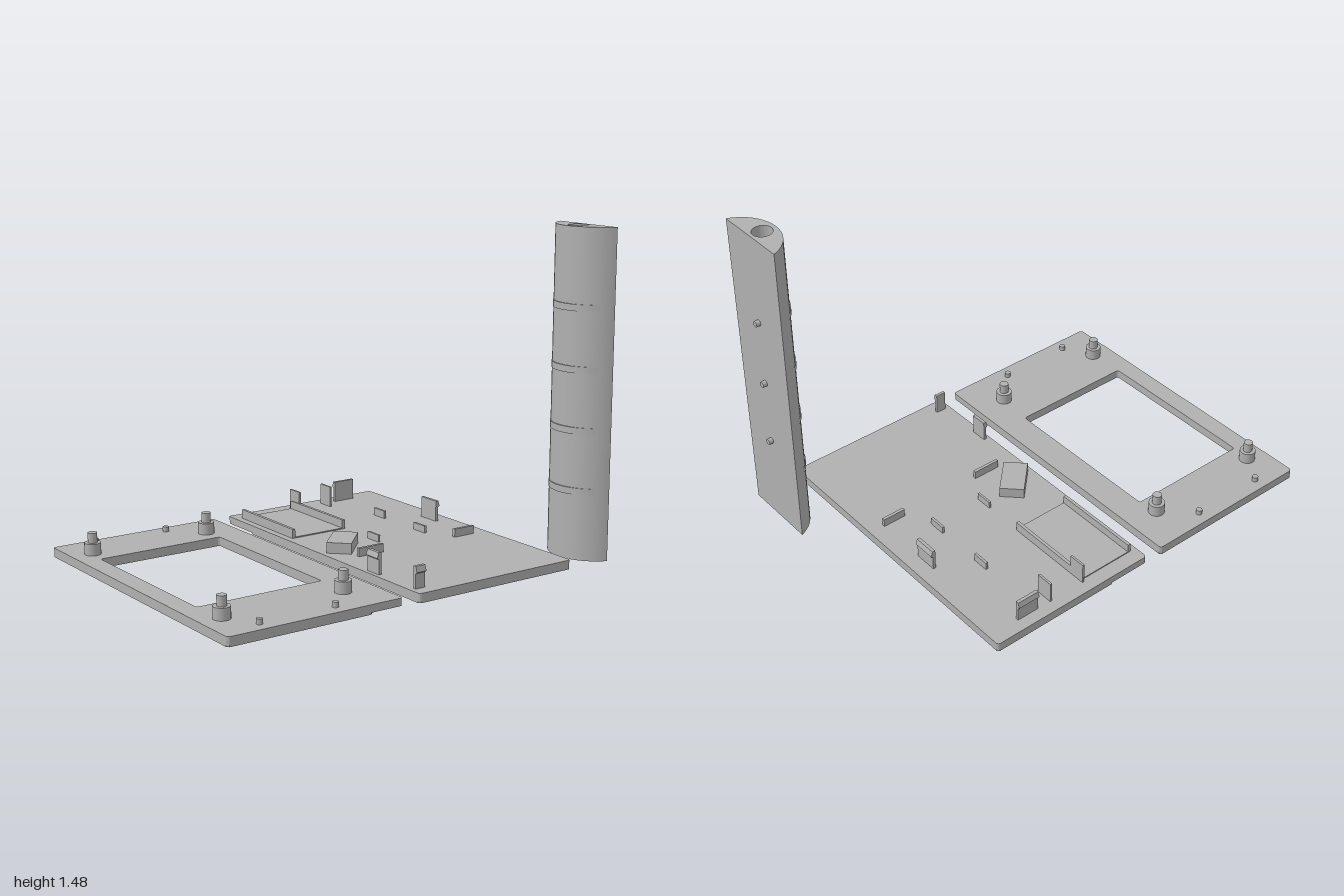
import * as THREE from 'three';
import { toCreasedNormals } from 'three/addons/utils/BufferGeometryUtils.js';

export function createModel() {
  const model = new THREE.Group();
  const grey = new THREE.MeshStandardMaterial({ color: 0xb0b0b0 });
  grey.name = 'matte grey';

  const add = (name, geo, parent = model) => {
    const mesh = new THREE.Mesh(geo, grey);
    mesh.name = name;
    parent.add(mesh);
    return mesh;
  };
  const group = (name) => {
    const g = new THREE.Group();
    g.name = name;
    model.add(g);
    return g;
  };

  // Plan shapes use (x, -z); slab raises them from y0 to y1
  const slab = (shape, y0, y1) => {
    const g = new THREE.ExtrudeGeometry(shape, { depth: y1 - y0, bevelEnabled: false, curveSegments: 20 });
    g.rotateX(-Math.PI / 2).translate(0, y0, 0);
    return toCreasedNormals(g, 0.5);
  };
  const roundRect = (x0, z0, x1, z1, r, target = new THREE.Shape()) => {
    const a = -z1, b = -z0;
    target.moveTo(x0 + r, a);
    target.lineTo(x1 - r, a);
    target.absarc(x1 - r, a + r, r, -Math.PI / 2, 0);
    target.lineTo(x1, b - r);
    target.absarc(x1 - r, b - r, r, 0, Math.PI / 2);
    target.lineTo(x0 + r, b);
    target.absarc(x0 + r, b - r, r, Math.PI / 2, Math.PI);
    target.lineTo(x0, a + r);
    target.absarc(x0 + r, a + r, r, Math.PI, Math.PI * 1.5);
    return target;
  };
  const box = (name, x0, x1, y0, y1, z0, z1, parent) =>
    add(name, new THREE.BoxGeometry(x1 - x0, y1 - y0, z1 - z0)
      .translate((x0 + x1) / 2, (y0 + y1) / 2, (z0 + z1) / 2), parent);
  const post = (name, x, z, r, y0, y1, parent) =>
    add(name, new THREE.CylinderGeometry(r, r, y1 - y0, 24).translate(x, (y0 + y1) / 2, z), parent);

  const T = 0.042, STEP = 0.008;

  // Front cover: framed window, with shallow recesses underneath
  const cover = group('frontCover');
  const windowHole = () => roundRect(-0.91, -0.455, -0.3, 0.36, 0.012, new THREE.Path());
  const coverTop = roundRect(-1, -0.74, -0.16, 0.74, 0.015);
  coverTop.holes.push(windowHole());
  add('coverPlate', slab(coverTop, STEP, T), cover);
  const coverUnder = new THREE.Shape([
    [-0.99, -0.74], [-0.32, -0.74], [-0.16, -0.58], [-0.16, 0.73], [-0.17, 0.74],
    [-0.99, 0.74], [-1, 0.73], [-1, -0.73],
  ].map(([x, y]) => new THREE.Vector2(x, y)));
  coverUnder.holes.push(
    windowHole(),
    new THREE.Path().absarc(-0.61, 0.59, 0.115, 0, Math.PI * 2),
    roundRect(-0.9, 0.52, -0.34, 0.64, 0.04, new THREE.Path()));
  add('coverUnderside', slab(coverUnder, 0, STEP), cover);
  for (const x of [-0.9, -0.315]) {
    for (const z of [-0.548, 0.538]) {
      post('standoff', x, z, 0.037, T - 0.005, 0.095, cover);
      post('standoffPin', x, z, 0.021, 0.09, 0.14, cover);
    }
  }
  for (const x of [-0.815, -0.453])
    for (const z of [-0.682, 0.678]) post('locatingPeg', x, z, 0.014, T - 0.005, 0.065, cover);

  // Back cover: diagonal groove underneath and one cut corner
  const back = group('backCover');
  const groove = () => {
    const p = new THREE.Path(), r = 0.035, q = Math.PI / 4;
    p.absarc(0.65, -0.67, r, -3 * q, q);
    p.absarc(0.04, -0.06, r, q, 5 * q);
    p.closePath();
    return p;
  };
  add('backPlate', slab(roundRect(-0.075, -0.74, 0.765, 0.74, 0.015), 0.034, T), back);
  const backMiddle = roundRect(-0.075, -0.74, 0.765, 0.74, 0.015);
  backMiddle.holes.push(groove());
  add('backPlateCore', slab(backMiddle, STEP, 0.034), back);
  const backUnder = new THREE.Shape([
    [-0.065, -0.74], [0.755, -0.74], [0.765, -0.73], [0.765, 0.73], [0.755, 0.74],
    [0.13, 0.74], [-0.075, 0.53], [-0.075, -0.73],
  ].map(([x, y]) => new THREE.Vector2(x, y)));
  backUnder.holes.push(groove());
  add('backUnderside', slab(backUnder, 0, STEP), back);

  // Tray with two side walls
  box('trayFloor', -0.04, 0.25, T - 0.005, 0.047, -0.67, -0.24, back);
  box('trayWall', -0.042, -0.027, T - 0.005, 0.085, -0.67, -0.24, back);
  box('trayWall', 0.237, 0.252, T - 0.005, 0.085, -0.67, -0.24, back);

  // Diagonal housing above the groove end
  const housing = add('diagonalHousing', new THREE.BoxGeometry(0.191, 0.053, 0.113), back);
  housing.position.set(0.0575, 0.0645, 0.0125);
  housing.rotation.y = Math.PI / 4;

  // Plain ribs: x0, x1, z0, z1, top
  for (const [x0, x1, z0, z1, top] of [
    [0.242, 0.252, -0.685, -0.605, 0.14], [0.424, 0.434, -0.685, -0.605, 0.14],
    [0.507, 0.519, -0.355, -0.275, 0.078], [0.242, 0.252, -0.048, 0.035, 0.075],
    [0.507, 0.519, -0.048, 0.035, 0.075], [0.035, 0.17, 0.155, 0.17, 0.08],
    [0.577, 0.69, 0.155, 0.17, 0.08],
  ]) box('rib', x0, x1, T - 0.005, top, z0, z1, back);

  // Snap clips with an outward catch: x, z, length, turn
  const clipShape = new THREE.Shape([
    [-0.009, 0.037], [0.005, 0.037], [0.005, 0.108], [0.014, 0.115], [0.006, 0.14], [-0.009, 0.14],
  ].map(([x, y]) => new THREE.Vector2(x, y)));
  for (const [x, z, len, turn] of [
    [0.555, -0.678, 0.11, Math.PI / 2], [0.686, -0.15, 0.11, 0],
    [-0.05, 0.395, 0.08, Math.PI], [-0.025, 0.676, 0.05, -Math.PI / 2],
  ]) {
    const g = new THREE.ExtrudeGeometry(clipShape, { depth: len, bevelEnabled: false });
    g.translate(0, 0, -len / 2).rotateY(turn).translate(x, 0, z);
    add('snapClip', g, back);
  }

  // Upright half-round grip with a bore from the top
  const grip = group('grip');
  const H = 1.485, CZ = 0.565, R = 0.192, CX = 1.047;
  const gripShape = () => {
    const a = Math.acos((CX - 0.98) / R);
    const s = new THREE.Shape();
    s.absarc(CX, -CZ, R, Math.PI - a, Math.PI + a);
    s.closePath();
    return s;
  };
  const bored = gripShape();
  bored.holes.push(new THREE.Path().absarc(0.92, -CZ, 0.045, 0, Math.PI * 2));
  add('gripBase', slab(gripShape(), 0, 0.05), grip);
  add('gripBody', slab(bored, 0.05, H), grip);

  // Slim crescent bands around the curved side
  const band = new THREE.Shape();
  const rb = 0.18, cb = 0.848 + rb, a = Math.acos((cb - 0.95) / rb);
  band.absarc(cb, -CZ, rb, Math.PI - a, Math.PI + a);
  band.absarc(cb, -CZ, rb - 0.02, Math.PI + a, Math.PI - a, true);
  band.closePath();
  for (const y of [0.315, 0.588, 0.86, 1.133]) add('gripBand', slab(band, y - 0.015, y + 0.015), grip);

  // Pegs on the flat side
  for (const y of [0.432, 0.745, 1.06]) {
    const peg = add('gripPeg', new THREE.CylinderGeometry(0.014, 0.014, 0.025, 20), grip);
    peg.rotation.z = Math.PI / 2;
    peg.position.set(0.9875, y, CZ);
  }
  return model;
}
